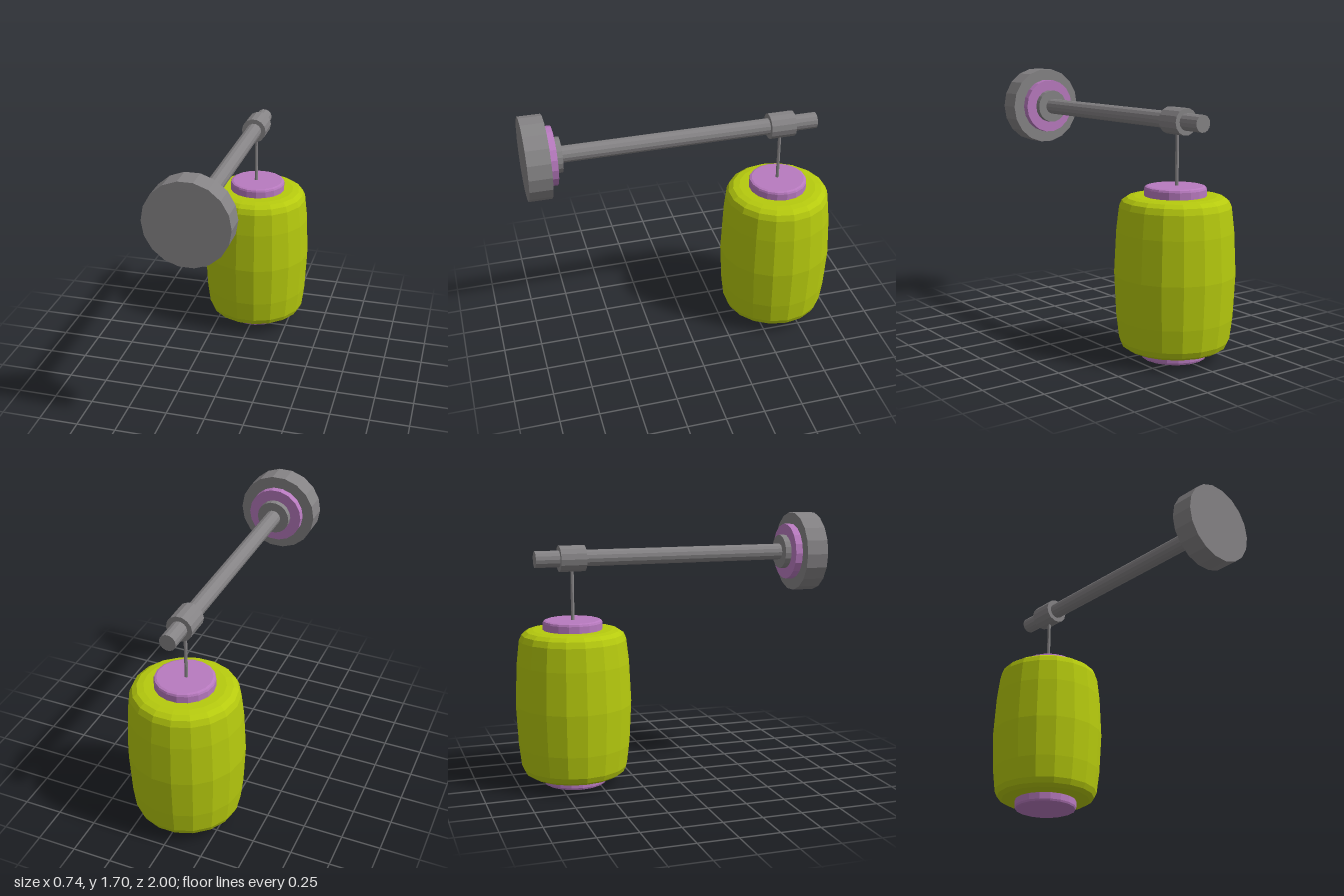
import * as THREE from 'three';

const SIDES = 18;
const LAMP_Z = -0.635; // hanging axis of the lantern
const ARM_X = -0.012, ARM_Y = 1.446; // axis of the wall arm

const paint = (name, color) => {
  const m = new THREE.MeshStandardMaterial({ color });
  m.name = name;
  return m;
};

// Split faces so each facet is shaded flat
function faceted(geometry) {
  const g = geometry.index ? geometry.toNonIndexed() : geometry;
  g.computeVertexNormals();
  return g;
}

export function createModel() {
  const grey = paint('greyMetal', 0x858385);
  const purple = paint('purpleTrim', 0xb87abf);
  const green = paint('limeShade', 0xb6ca0e);
  const model = new THREE.Group();
  model.name = 'wallLantern';

  function add(name, geometry, material, x, y, z) {
    const mesh = new THREE.Mesh(faceted(geometry), material);
    mesh.name = name;
    mesh.position.set(x, y, z);
    model.add(mesh);
  }

  // Cylinder lying along z on the arm axis, between two z values
  function rod(name, radius, z0, z1, material, sides = SIDES) {
    const g = new THREE.CylinderGeometry(radius, radius, z1 - z0, sides);
    g.rotateY(Math.PI / 2).rotateX(Math.PI / 2);
    add(name, g, material, ARM_X, ARM_Y, (z0 + z1) / 2);
  }

  // Turned part around the lantern axis, profile from bottom to top
  function turned(name, profile, material) {
    const points = profile.map(([r, y]) => new THREE.Vector2(r, y));
    const g = new THREE.LatheGeometry(points, SIDES).rotateY(Math.PI / 2);
    add(name, g, material, 0, 0, LAMP_Z);
  }

  // Wall mount and arm
  rod('wallPlate', 0.258, 0.857, 1, grey);
  rod('mountRing', 0.182, 0.81, 0.86, purple);
  rod('armSocket', 0.11, 0.77, 0.815, grey);
  rod('arm', 0.052, -0.87, 0.78, grey, 14);
  rod('hangerCollar', 0.082, -0.718, -0.555, grey, 14);

  // Hanging wire
  add('wire', new THREE.CylinderGeometry(0.011, 0.011, 0.36, 8), grey, -0.01, 1.22, LAMP_Z);

  // Barrel-shaped shade with rounded shoulders
  turned('shade', [
    [0, 0.06], [0.25, 0.06], [0.292, 0.066], [0.322, 0.085], [0.338, 0.12],
    [0.355, 0.26], [0.368, 0.525], [0.355, 0.79],
    [0.338, 0.935], [0.322, 0.972], [0.292, 0.993], [0.25, 1], [0, 1],
  ], green);

  // Caps with softened rims
  turned('topCap', [
    [0, 0.99], [0.188, 0.99], [0.188, 1.043], [0.183, 1.055], [0.17, 1.06], [0, 1.06],
  ], purple);
  turned('bottomCap', [
    [0, 0], [0.186, 0], [0.199, 0.005], [0.204, 0.017], [0.204, 0.07], [0, 0.07],
  ], purple);

  return model;
}
